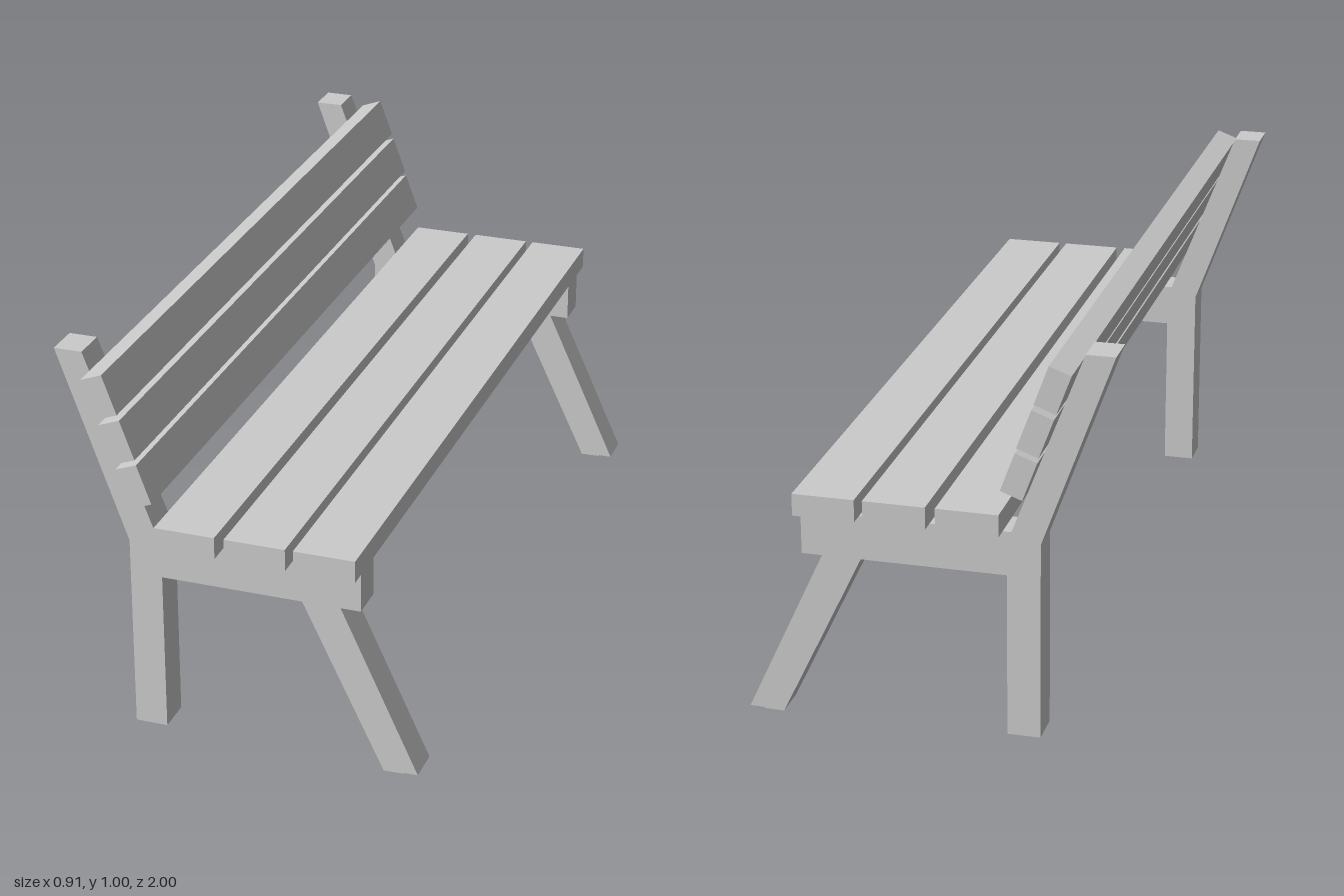
import * as THREE from 'three';

export function createModel() {
  const bench = new THREE.Group();
  bench.name = 'bench';
  const material = new THREE.MeshStandardMaterial({ color: 0xcccccc, flatShading: true });

  // End frame: back post, seat rail and splayed front leg in one side profile
  const profile = new THREE.Shape([
    [-0.455, 1], [-0.28, 0.517], [-0.28, 0.012], [-0.198, 0.012], [-0.198, 0.43],
    [0.162, 0.43], [0.368, 0], [0.418, 0.001], [0.42, 0.004], [0.455, 0.004], [0.259, 0.43],
    [0.31, 0.43], [0.31, 0.542], [-0.209, 0.542], [-0.384, 1],
  ].map(([x, y]) => new THREE.Vector2(x, y)));
  const frameDepth = 0.09;
  const frameGeometry = new THREE.ExtrudeGeometry(profile, { depth: frameDepth, bevelEnabled: false });
  for (const [name, z] of [['frontFrame', 0.892], ['rearFrame', -0.918]]) {
    const frame = new THREE.Mesh(frameGeometry, material);
    frame.name = name;
    frame.position.z = z - frameDepth / 2;
    bench.add(frame);
  }

  // Full-length slats
  function addSlats(name, width, height, tilt, centers) {
    const geometry = new THREE.BoxGeometry(width, height, 2);
    centers.forEach(([x, y], i) => {
      const slat = new THREE.Mesh(geometry, material);
      slat.name = name + (i + 1);
      slat.position.set(x, y, 0);
      slat.rotation.z = tilt;
      bench.add(slat);
    });
  }
  addSlats('seatSlat', 0.154, 0.056, 0, [[-0.111, 0.57], [0.067, 0.57], [0.241, 0.57]]);
  addSlats('backSlat', 0.057, 0.104, 0.353, [[-0.316, 0.92], [-0.275, 0.809], [-0.236, 0.699]]);

  return bench;
}
